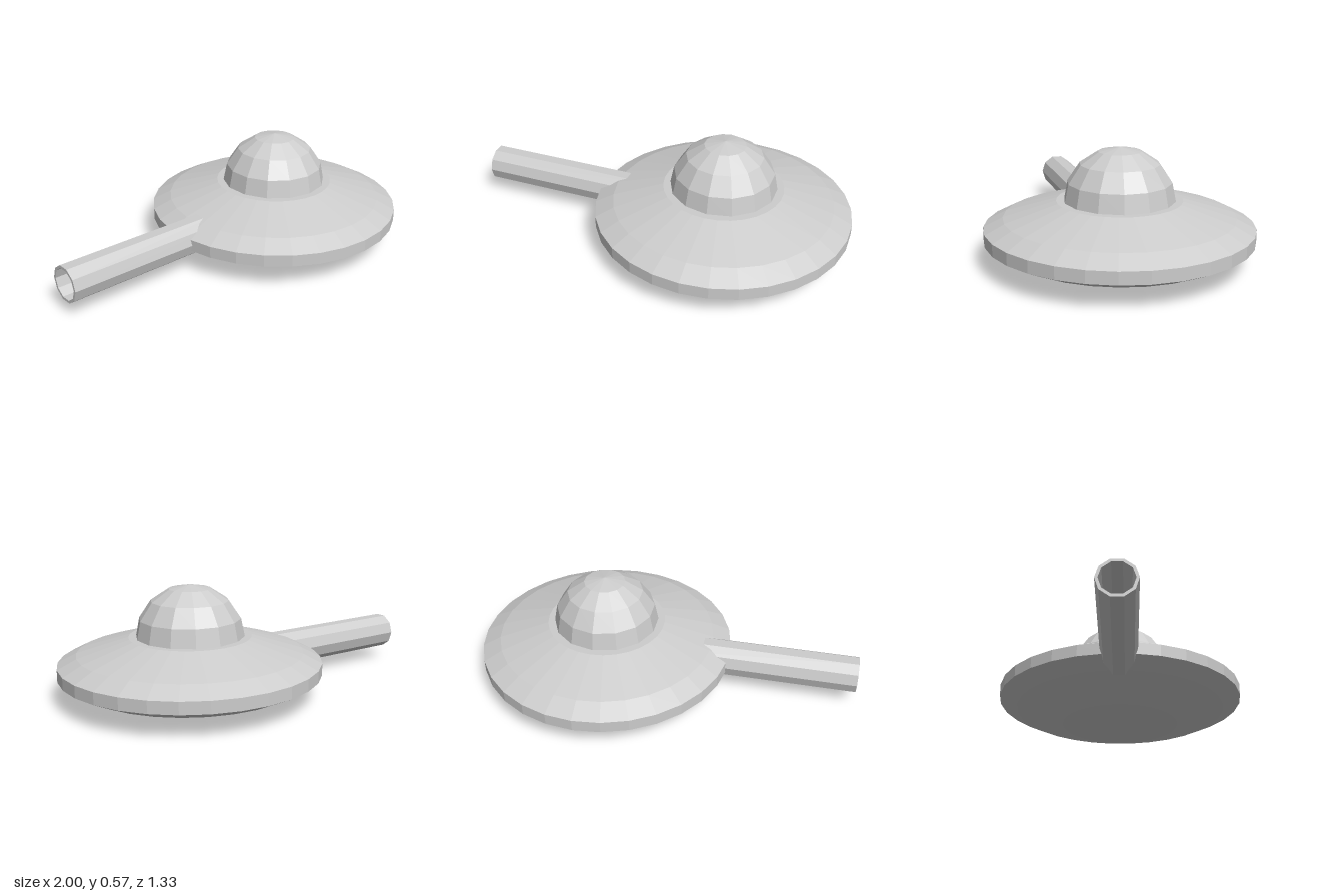
import * as THREE from 'three';

const HULL_X = 0.335;

// Revolves [radius, height] pairs, listed from bottom to top
function revolve(name, points, sides, material) {
  const profile = points.map(([r, y]) => new THREE.Vector2(r, y));
  const mesh = new THREE.Mesh(new THREE.LatheGeometry(profile, sides), material);
  mesh.name = name;
  return mesh;
}

export function createModel() {
  const model = new THREE.Group();
  model.name = 'saucer';
  const grey = new THREE.MeshStandardMaterial({ color: 0xcccccc, flatShading: true });
  grey.name = 'light grey';

  // Wide disc with a flat rim band
  const hull = revolve('hull', [
    [0, 0], [0.315, 0], [0.57, 0.08], [0.665, 0.126],
    [0.665, 0.187], [0.57, 0.235], [0.31, 0.313], [0, 0.313],
  ], 30, grey);
  hull.position.x = HULL_X;

  // Faceted half-sphere cockpit
  const domePoints = [];
  for (let i = 0; i <= 4; i++) {
    const a = (i * Math.PI) / 8;
    domePoints.push([0.278 * Math.cos(a), 0.298 + 0.277 * Math.sin(a)]);
  }
  domePoints[4][0] = 0;
  const dome = revolve('dome', domePoints, 14, grey);
  dome.position.x = HULL_X;

  // Hollow pipe running out of the hull's right side
  const pipe = revolve('pipe', [
    [0, 0], [0.094, 0], [0.094, 1], [0.08, 1], [0.08, 0.1], [0, 0.1],
  ], 10, grey);
  pipe.rotation.z = Math.PI / 2;
  pipe.position.y = 0.157;

  model.add(hull, dome, pipe);
  return model;
}
